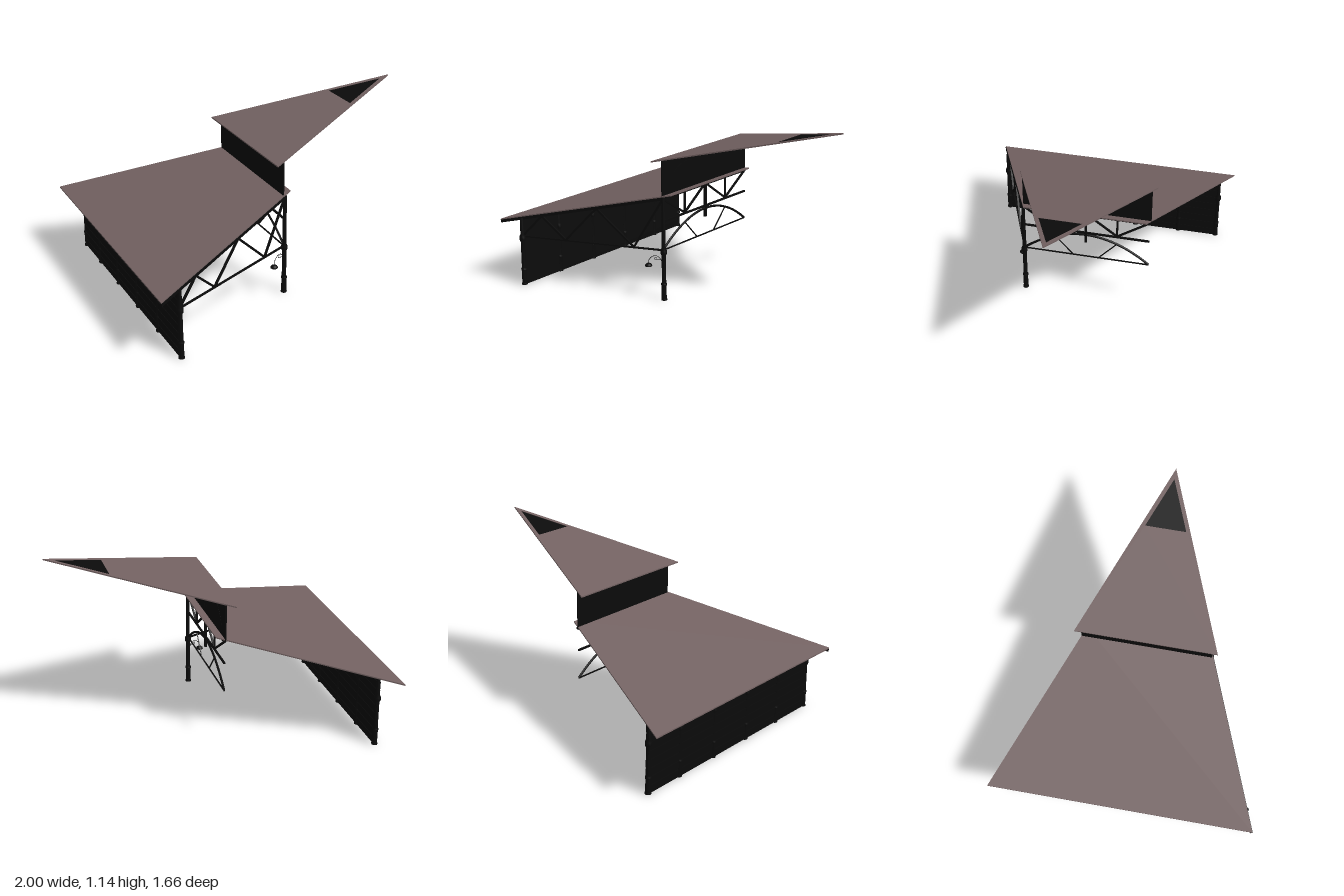
import * as THREE from 'three';

const black = new THREE.MeshStandardMaterial({ color: 0x0b0b0b });
black.name = 'blackIron';
const roofing = new THREE.MeshStandardMaterial({ color: 0x736262 });
roofing.name = 'roofing';

const V = (x, y, z) => new THREE.Vector3(x, y, z);
const lowerRoofY = (x) => 0.664 + 0.242 * x;
const upperRoofY = (x) => 0.893 + 0.239 * x;
const hipZ = (x) => 0.415 * (1 - x);

function add(parent, name, geometry, material = black) {
  const mesh = new THREE.Mesh(geometry, material);
  mesh.name = name;
  parent.add(mesh);
  return mesh;
}

function box(parent, name, w, h, d, x, y, z) {
  add(parent, name, new THREE.BoxGeometry(w, h, d)).position.set(x, y, z);
}

// square beam between two points
function beam(parent, name, a, b, width = 0.012, height = width) {
  const mesh = add(parent, name, new THREE.BoxGeometry(width, height, a.distanceTo(b)));
  mesh.position.copy(a).lerp(b, 0.5);
  mesh.lookAt(b);
}

function tube(parent, name, points, radius, segments = 24) {
  add(parent, name, new THREE.TubeGeometry(new THREE.CatmullRomCurve3(points), segments, radius, 6));
}

function outline(points) {
  return points.map(([x, z]) => new THREE.Vector2(x, z));
}

// flat plate in plan, sheared up to a roof slope
function slopedPlate(parent, name, points, heightAt, thickness, material, hole) {
  const shape = new THREE.Shape(outline(points));
  if (hole) shape.holes.push(new THREE.Path(outline(hole)));
  const g = new THREE.ExtrudeGeometry(shape, { depth: thickness, bevelEnabled: false });
  g.rotateX(-Math.PI / 2);
  const p = g.attributes.position;
  for (let i = 0; i < p.count; i++) p.setY(i, p.getY(i) + heightAt(p.getX(i)));
  g.computeVertexNormals();
  add(parent, name, g, material);
}

// turned iron column with base and capital
function column(parent, name, x, z, height) {
  const profile = [[0, 0], [0.019, 0], [0.019, 0.008], [0.016, 0.014], [0.016, 0.095], [0.019, 0.1],
    [0.019, 0.108], [0.014, 0.116], [0.013, 0.29], [0.02, 0.305], [0.02, 0.325], [0.013, 0.34],
    [0.011, height], [0, height]];
  const g = new THREE.LatheGeometry(outline(profile), 12);
  add(parent, name, g).position.set(x, 0, z);
}

export function createModel() {
  const model = new THREE.Group();
  model.name = 'marketHallSection';

  // roofs
  slopedPlate(model, 'lowerRoof',
    [[-1, -hipZ(-1)], [0.05, -hipZ(0.05)], [0.05, hipZ(0.05)], [-1, hipZ(-1)]],
    lowerRoofY, 0.008, roofing);
  const opening = [[0.628, -0.128], [0.935, 0], [0.628, 0.128]];
  slopedPlate(model, 'upperRoof', [[-0.065, -hipZ(-0.065)], [1, 0], [-0.065, hipZ(-0.065)]],
    upperRoofY, 0.008, roofing, opening);
  slopedPlate(model, 'skylightPanel', opening, (x) => upperRoofY(x) + 0.002, 0.004, black);

  // outer wall with planks and columns
  const wallX = -0.866;
  const wall = new THREE.Group();
  wall.name = 'outerWall';
  model.add(wall);
  box(wall, 'wallPanel', 0.012, 0.44, 1.53, wallX, 0.22, 0.012);
  for (let i = 0; i < 8; i++) box(wall, 'plank', 0.018, 0.046, 1.53, wallX, 0.028 + i * 0.054, 0.012);
  for (const z of [0.775, 0.46, 0.15, -0.165, -0.475, -0.742]) column(wall, 'wallColumn', wallX, z, 0.45);

  // corner column
  column(model, 'cornerColumn', 0.004, 0.41, 0.665);

  // truss along the front hip
  const hip = new THREE.Group();
  hip.name = 'hipTruss';
  model.add(hip);
  const hipPoint = (x, y) => V(x, y, hipZ(x) - 0.004);
  beam(hip, 'hipRafter', hipPoint(-1, lowerRoofY(-1) - 0.008), hipPoint(0.01, lowerRoofY(0.01) - 0.008), 0.014, 0.018);
  beam(hip, 'bottomChord', hipPoint(wallX, 0.326), hipPoint(0, 0.326), 0.01);
  const zigzag = [-0.866, -0.74, -0.595, -0.4, -0.175, 0.0];
  for (let i = 0; i < 5; i++) {
    const at = (k) => hipPoint(zigzag[k], k % 2 ? lowerRoofY(zigzag[k]) - 0.012 : 0.328);
    beam(hip, 'diagonal', at(i), at(i + 1));
  }

  // middle rafter under the lower roof
  beam(model, 'middleRafter', V(wallX, lowerRoofY(wallX) - 0.008, 0), V(0, lowerRoofY(0) - 0.008, 0), 0.014, 0.014);

  // truss under the clerestory
  const truss = new THREE.Group();
  truss.name = 'clerestoryTruss';
  model.add(truss);
  const at = (z, y) => V(0, y, z);
  beam(truss, 'topRail', at(0.415, 0.657), at(-0.415, 0.657), 0.014);
  beam(truss, 'middleRail', at(0.41, 0.512), at(-0.41, 0.512), 0.011);
  beam(truss, 'tieRod', at(0.41, 0.326), at(-0.41, 0.326), 0.007);
  beam(truss, 'kingPost', at(0, 0.66), at(0, 0.44), 0.014);
  for (const s of [1, -1]) {
    beam(truss, 'post', at(s * 0.203, 0.655), at(s * 0.203, 0.512), 0.011);
    beam(truss, 'outerDiagonal', at(s * 0.41, 0.655), at(s * 0.203, 0.517), 0.011);
    beam(truss, 'innerDiagonal', at(s * 0.203, 0.517), at(s * 0.01, 0.655), 0.011);
    beam(truss, 'archStrut', at(s * 0.2, 0.452), at(s * 0.085, 0.328), 0.006);
  }
  const arch = [];
  for (let i = -8; i <= 8; i++) {
    const t = i / 8;
    arch.push(at(t * 0.41, 0.328 + 0.168 * (1 - t * t)));
  }
  tube(truss, 'arch', arch, 0.0075, 32);

  // clerestory wall with slim arch mouldings
  box(model, 'clerestoryWall', 0.008, 0.235, 0.828, -0.006, 0.775, -0.004);
  for (const z of [0.18, -0.18]) {
    const ring = add(model, 'archMoulding', new THREE.TorusGeometry(0.163, 0.003, 4, 32, Math.PI));
    ring.rotation.y = Math.PI / 2;
    ring.position.set(-0.004, 0.684, z);
  }

  // lamp on a curled bracket
  const lamp = new THREE.Group();
  lamp.name = 'lamp';
  lamp.position.set(0, 0, 0.412);
  lamp.rotation.y = Math.atan(0.415);
  model.add(lamp);
  const shade = add(lamp, 'lampShade', new THREE.SphereGeometry(0.023, 16, 6, 0, Math.PI * 2, 0, Math.PI / 2));
  shade.position.set(-0.095, 0.214, 0);
  shade.scale.y = 0.85;
  const base = add(lamp, 'lampBase', new THREE.CircleGeometry(0.023, 16));
  base.rotation.x = Math.PI / 2;
  base.position.set(-0.095, 0.214, 0);
  tube(lamp, 'lampBracket', [V(-0.095, 0.232, 0), V(-0.09, 0.258, 0), V(-0.068, 0.28, 0), V(-0.04, 0.285, 0),
    V(-0.022, 0.274, 0), V(-0.01, 0.255, 0)], 0.0018);
  tube(lamp, 'bracketCurl', [V(-0.01, 0.262, 0), V(-0.035, 0.26, 0), V(-0.054, 0.264, 0), V(-0.05, 0.276, 0),
    V(-0.04, 0.271, 0)], 0.0015);

  return model;
}
